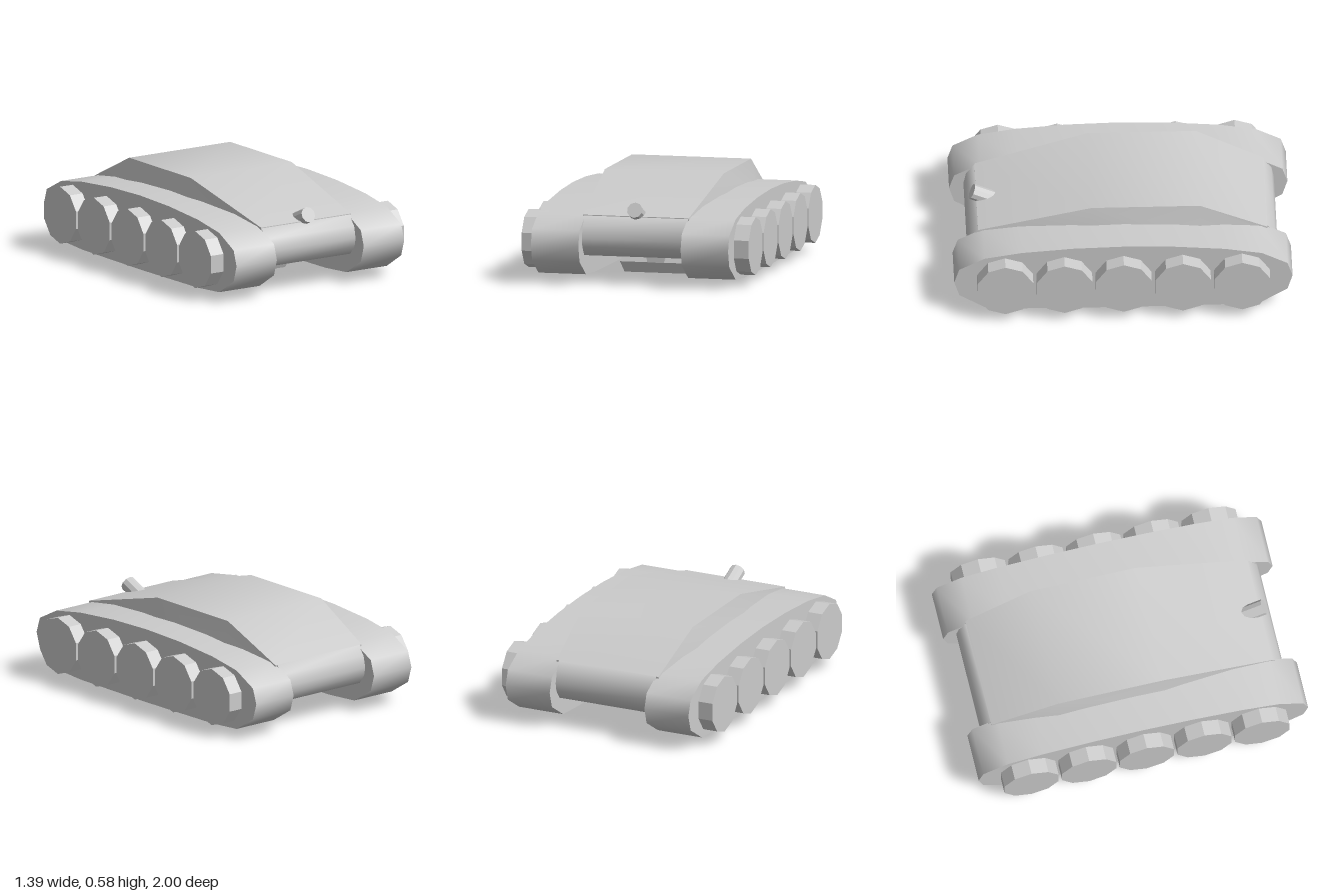
import * as THREE from 'three';
import { toCreasedNormals } from 'three/addons/utils/BufferGeometryUtils.js';

const mat = new THREE.MeshStandardMaterial({ color: 0xcccccc });
const flat = new THREE.MeshStandardMaterial({ color: 0xcccccc, flatShading: true });

function add(parent, name, geo, material = mat) {
  const m = new THREE.Mesh(geo, material);
  m.name = name;
  parent.add(m);
  return m;
}

// Extrude a side profile of [z, y] points across x, centred on x = 0
function sideExtrude(points, width) {
  const shape = new THREE.Shape(points.map(([z, y]) => new THREE.Vector2(z, y)));
  const geo = new THREE.ExtrudeGeometry(shape, { depth: width, bevelEnabled: false });
  geo.translate(0, 0, -width / 2).rotateY(-Math.PI / 2);
  return toCreasedNormals(geo, 0.95);
}

// Skin equal-sized rings of [x, y, z] points (counter-clockwise seen from the last ring), capping both ends
function loft(rings) {
  const n = rings[0].length, pos = [];
  const tri = (a, b, c) => pos.push(...a, ...b, ...c);
  for (let i = 0; i + 1 < rings.length; i++) {
    for (let j = 0; j < n; j++) {
      const k = (j + 1) % n, a = rings[i], b = rings[i + 1];
      tri(a[j], a[k], b[k]);
      tri(a[j], b[k], b[j]);
    }
  }
  const first = rings[0], last = rings[rings.length - 1];
  for (let j = 1; j + 1 < n; j++) {
    tri(first[0], first[j + 1], first[j]);
    tri(last[0], last[j], last[j + 1]);
  }
  const geo = new THREE.BufferGeometry();
  geo.setAttribute('position', new THREE.Float32BufferAttribute(pos, 3));
  geo.computeVertexNormals();
  return geo;
}

export function createModel() {
  const model = new THREE.Group();
  model.name = 'trackedVehicle';

  // Track pods with five ten-sided wheels on each side
  const half = [[0, 0.025], [0.3, 0.027], [0.6, 0.03], [0.82, 0.045], [0.97, 0.138], [1, 0.235],
    [0.97, 0.327], [0.82, 0.405], [0.6, 0.442], [0.3, 0.466], [0, 0.474]];
  const trackProfile = [...half, ...half.slice(1, -1).reverse().map(([z, y]) => [-z, y])];
  for (const side of [1, -1]) {
    const unit = new THREE.Group();
    unit.name = side > 0 ? 'leftTrackUnit' : 'rightTrackUnit';
    add(unit, 'track', sideExtrude(trackProfile, 0.29)).position.x = side * 0.457;
    for (let i = -2; i <= 2; i++) {
      const wheel = new THREE.CylinderGeometry(0.173, 0.173, 0.12, 10, 1, false, Math.PI / 2);
      wheel.rotateZ(Math.PI / 2);
      add(unit, 'wheel', wheel, flat).position.set(side * 0.633, 0.232, i * 0.35);
    }
    model.add(unit);
  }

  // Hull between the tracks, with rounded nose and tail
  add(model, 'hull', sideExtrude([[0.86, 0.165], [0.905, 0.22], [0.915, 0.27], [0.9, 0.34], [0.85, 0.4],
    [-0.86, 0.395], [-0.905, 0.34], [-0.92, 0.27], [-0.91, 0.22], [-0.87, 0.165]], 0.64));

  // Sloped upper body: [z, top y, top half-width, base y, base half-width]
  const bodyRings = [
    [-0.86, 0.395, 0.335, 0.36, 0.337],
    [-0.46, 0.583, 0.363, 0.41, 0.397],
    [0.18, 0.583, 0.363, 0.41, 0.397],
    [0.85, 0.405, 0.323, 0.36, 0.325],
  ].map(([z, yt, xt, yb, xb]) => [[-xb, yb, z], [xb, yb, z], [xt, yt, z], [-xt, yt, z]]);
  add(model, 'upperBody', toCreasedNormals(loft(bodyRings), 0.6));

  // Short gun stub tilted upward from the front slope
  const gun = add(model, 'gunStub', new THREE.CylinderGeometry(0.047, 0.047, 0.2, 10), flat);
  gun.position.set(0, 0.405, 0.784);
  gun.rotation.x = Math.PI / 2 - 0.42;

  // Belly pod with bevelled sides: [half-width, y, half-length], from bottom to top
  const podRings = [[0.2, 0, 0.345], [0.22, 0.065, 0.375], [0.18, 0.175, 0.33]].map(([x, y, z]) =>
    [[-x, y, z], [x, y, z], [x, y, -z], [-x, y, -z]]);
  add(model, 'bellyPod', loft(podRings), flat);

  // Small angular block on the front of the pod
  const block = [0.3, 0.385].map((z) =>
    [[-0.05, 0.065, z], [0.05, 0.065, z], [0.075, 0.17, z], [-0.075, 0.17, z]]);
  add(model, 'bellyBlock', loft(block), flat);

  return model;
}
